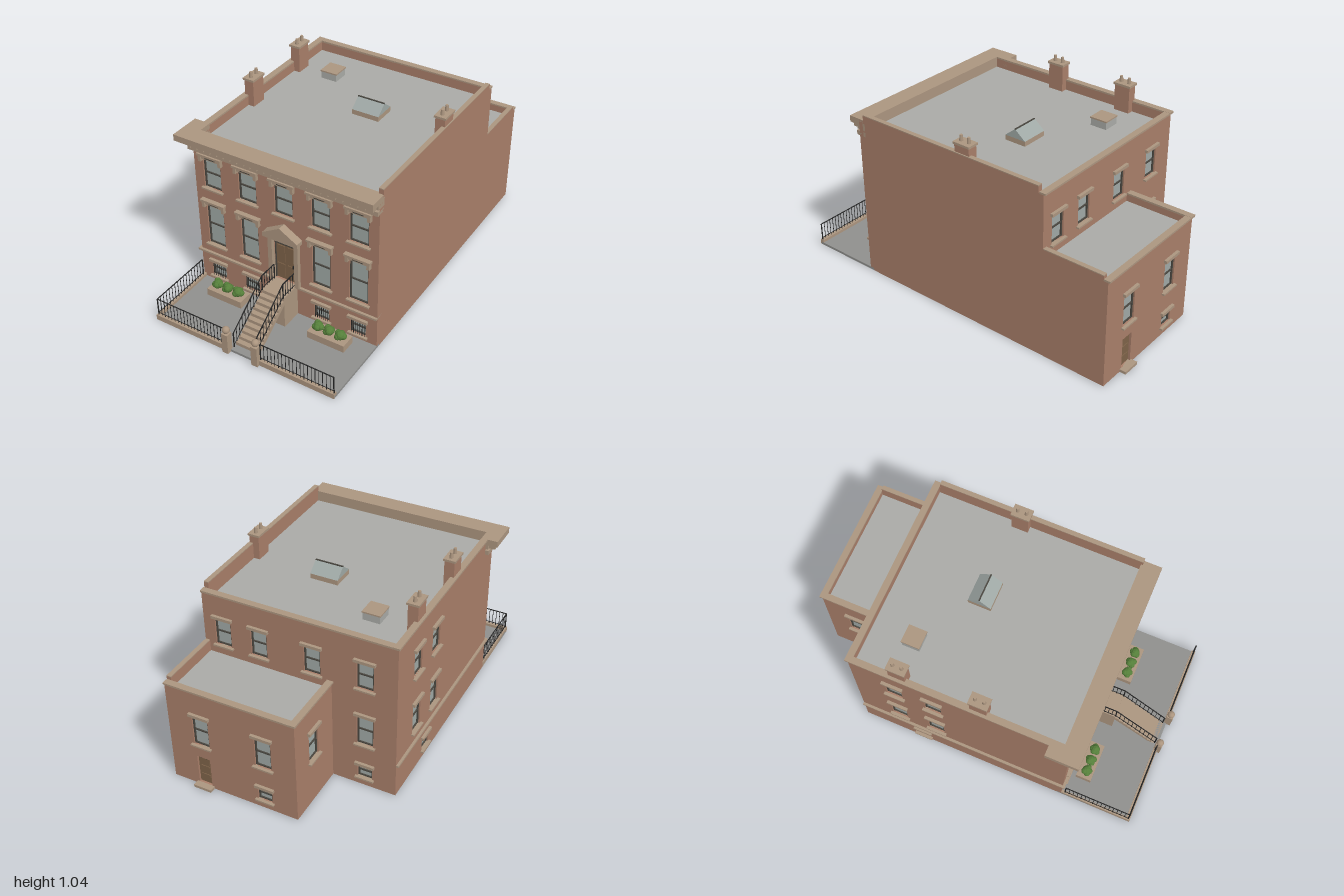
import * as THREE from 'three';

const mat = (color, extra = {}) => new THREE.MeshStandardMaterial({ color, ...extra });
const M = {
  brick: mat(0xa87e69), stone: mat(0xab957f), roof: mat(0xa9aaa6), yard: mat(0x8f8f8d), glass: mat(0x9fa8a5),
  frame: mat(0x4a4740), iron: mat(0x262626), door: mat(0x7d6248), leaf: mat(0x557f3a, { flatShading: true }),
};
const MID = 0.0325;              // axis of the front elevation
const X0 = -0.5, X1 = 0.565;     // outer faces of the side walls
const FRONT = 0.58, BACK = -0.6, WING = -0.965, WINGX = -0.15;
const T = 0.025;                 // wall thickness

function add(parent, name, geo, material) {
  const m = new THREE.Mesh(geo, material);
  m.name = name;
  parent.add(m);
  return m;
}
// box from its limits on each axis
function box(parent, name, material, x0, x1, y0, y1, z0, z1) {
  const m = add(parent, name, new THREE.BoxGeometry(x1 - x0, y1 - y0, z1 - z0), material);
  m.position.set((x0 + x1) / 2, (y0 + y1) / 2, (z0 + z1) / 2);
  return m;
}
// round iron bar between two points
function bar(parent, name, a, b, r = 0.002) {
  const p = new THREE.Vector3(...a), d = new THREE.Vector3(...b).sub(p);
  const m = add(parent, name, new THREE.CylinderGeometry(r, r, d.length(), 6), M.iron);
  m.position.copy(p).addScaledVector(d, 0.5);
  m.quaternion.setFromUnitVectors(new THREE.Vector3(0, 1, 0), d.normalize());
}
function group(parent, name) {
  const g = new THREE.Group();
  g.name = name;
  parent.add(g);
  return g;
}

// sash window in a wall opening, local +z outwards
function sashWindow(parent, o) {
  const g = group(parent, 'window'), { u, w, y0, y1, kind } = o, h = w / 2, f = 0.007;
  box(g, 'glass', M.glass, u - h, u + h, y0, y1, -T, -0.016);
  for (const s of [-1, 1]) box(g, 'frameSide', M.frame, u + s * (h - f / 2) - f / 2, u + s * (h - f / 2) + f / 2, y0, y1, -T, -0.008);
  for (const y of [y0, (y0 + y1 - f) / 2, y1 - f]) box(g, 'frameRail', M.frame, u - h, u + h, y, y + f, -T, -0.009);
  box(g, 'sill', M.stone, u - h - 0.012, u + h + 0.012, y0 - 0.009, y0, -T, 0.016);
  if (kind === 'hood') {
    box(g, 'lintel', M.stone, u - h - 0.014, u + h + 0.014, y1, y1 + 0.024, -T, 0.012);
    box(g, 'hood', M.stone, u - 0.073, u + 0.073, y1 + 0.022, y1 + 0.034, -0.01, 0.026);
    box(g, 'vent', M.frame, u - 0.029, u + 0.029, y1 + 0.006, y1 + 0.021, 0.01, 0.014);
    for (const s of [-1, 1]) box(g, 'hoodBracket', M.stone, u + s * 0.06 - 0.008, u + s * 0.06 + 0.008, y1 - 0.014, y1 + 0.022, -0.005, 0.02);
  } else box(g, 'lintel', M.stone, u - h - 0.013, u + h + 0.013, y1, y1 + 0.016, -T, 0.016);
  if (kind === 'barred')
    for (let i = -3; i <= 3; i++) bar(g, 'windowBar', [u + i * h / 3.6, y0, 0.003], [u + i * h / 3.6, y1, 0.003], 0.0015);
}
// wall panel with openings; outer face at local z = 0
function facade(parent, name, a, b, top, openings) {
  const g = group(parent, name);
  const s = new THREE.Shape([[a, 0], [b, 0], [b, top], [a, top]].map(p => new THREE.Vector2(...p)));
  for (const { u, w, y0, y1 } of openings)
    s.holes.push(new THREE.Path([[u - w / 2, y0], [u - w / 2, y1], [u + w / 2, y1], [u + w / 2, y0]].map(p => new THREE.Vector2(...p))));
  const geo = new THREE.ExtrudeGeometry(s, { depth: T, bevelEnabled: false }).translate(0, 0, -T);
  add(g, 'brickWall', geo, M.brick);
  openings.filter(o => o.kind !== 'door').forEach(o => sashWindow(g, o));
  return g;
}
const upper = u => ({ u, w: 0.09, y0: 0.612, y1: 0.768 });
const middle = u => ({ u, w: 0.09, y0: 0.265, y1: 0.443 });
const cellar = u => ({ u, w: 0.08, y0: 0.05, y1: 0.127 });

function chimney(parent, x, z, top) {
  const g = group(parent, 'chimney');
  box(g, 'stack', M.brick, x - 0.027, x + 0.027, 0.84, top - 0.01, z - 0.045, z + 0.045);
  box(g, 'cap', M.stone, x - 0.033, x + 0.033, top - 0.012, top, z - 0.051, z + 0.051);
  for (const s of [-1, 1]) add(g, 'pot', new THREE.CylinderGeometry(0.008, 0.01, 0.032, 12), M.stone).position.set(x, top + 0.015, z + s * 0.024);
}
// railing with evenly spaced pickets; h is the height above the line a-b
function railing(parent, a, b, h, n) {
  const g = group(parent, 'railing'), A = new THREE.Vector3(...a), B = new THREE.Vector3(...b);
  const up = (p, y) => [p.x, p.y + y, p.z];
  bar(g, 'topRail', up(A, h), up(B, h), 0.003);
  bar(g, 'lowRail', up(A, 0.012), up(B, 0.012));
  for (let i = 0; i <= n; i++) {
    const p = A.clone().lerp(B, i / n);
    bar(g, 'picket', up(p, 0), up(p, h), i === 0 || i === n ? 0.0035 : 0.0017);
  }
}

export function createModel() {
  const root = new THREE.Group();
  root.name = 'townhouse';

  // ground, solid cores and roofs
  box(root, 'yard', M.yard, X0, X1, 0, 0.014, FRONT - T, 0.975);
  box(root, 'mainCore', M.brick, X0 + T, X1 - T, 0, 0.84, BACK + T, FRONT - T);
  box(root, 'mainRoof', M.roof, X0 + T, X1 - T, 0.84, 0.855, BACK + T, FRONT - T);
  box(root, 'wingCore', M.brick, WINGX + T, X1 - T, 0, 0.54, WING + T, BACK);
  box(root, 'wingRoof', M.roof, WINGX + T, X1 - T, 0.54, 0.555, WING + T, BACK);

  // plain party wall on the left side, stepped down to the wing
  box(root, 'partyWall', M.brick, X1 - T, X1, 0, 0.91, BACK, FRONT);
  box(root, 'partyParapet', M.brick, X1 - T, X1, 0.9, 0.94, BACK + 0.03, FRONT - 0.03);
  box(root, 'partyCoping', M.stone, X1 - T, X1, 0.94, 0.945, BACK + 0.03, FRONT - 0.03);
  box(root, 'wingPartyWall', M.brick, X1 - T, X1, 0, 0.615, WING + T, BACK);
  box(root, 'wingPartyCoping', M.stone, X1 - T, X1, 0.615, 0.62, WING + T, BACK);

  // front elevation: five bays, door in the middle
  const cols = [-2, -1, 0, 1, 2].map(i => MID + i * 0.2125);
  const open = cols.map(u => ({ u, w: 0.105, y0: 0.612, y1: 0.785, kind: 'hood' }));
  for (const u of cols.filter((_, i) => i !== 2))
    open.push({ u, w: 0.105, y0: 0.256, y1: 0.505, kind: 'hood' }, { u, w: 0.088, y0: 0.045, y1: 0.136, kind: 'barred' });
  open.push({ u: MID, w: 0.13, y0: 0.2, y1: 0.472, kind: 'door' });
  facade(root, 'frontWall', X0, X1, 0.9, open).position.z = FRONT;

  // right side, rear and wing elevations
  const right = facade(root, 'rightWall', BACK, FRONT, 0.906, [-0.37, -0.155].flatMap(u => [upper(u), middle(u)]).concat(cellar(-0.245)));
  right.position.x = X0;
  right.rotation.y = -Math.PI / 2;
  const rear = facade(root, 'rearWall', -X1, -X0, 0.906, [...[-0.455, -0.25, 0.045, 0.33].map(upper), middle(0.33), cellar(0.33)]);
  rear.position.z = BACK;
  rear.rotation.y = Math.PI;
  const wing = facade(root, 'wingRearWall', -X1, -WINGX, 0.592,
    [middle(-0.38), middle(-0.03), cellar(-0.03), { u: -0.38, w: 0.075, y0: 0.015, y1: 0.185, kind: 'door' }]);
  wing.position.z = WING;
  wing.rotation.y = Math.PI;
  const wingSide = facade(root, 'wingRightWall', WING, BACK, 0.592, [middle(-0.79)]);
  wingSide.position.x = WINGX;
  wingSide.rotation.y = -Math.PI / 2;

  // back door
  box(wing, 'backDoor', M.door, -0.4175, -0.3425, 0.015, 0.185, -T, -0.012);
  for (const y of [0.03, 0.085, 0.135]) box(wing, 'doorPanel', M.door, -0.405, -0.355, y, y + 0.04, -0.013, -0.008);
  box(wing, 'doorLintel', M.frame, -0.4175, -0.3425, 0.178, 0.185, -T, -0.006);
  box(wing, 'backStep', M.stone, -0.43, -0.33, 0, 0.015, -T, 0.035);

  // copings
  box(root, 'rightCoping', M.stone, X0 - 0.01, X0 + T, 0.905, 0.915, BACK - 0.01, 0.48);
  box(root, 'rearCoping', M.stone, X0 - 0.01, X1, 0.904, 0.914, BACK - 0.01, BACK + T);
  box(root, 'wingRightCoping', M.stone, WINGX - 0.01, WINGX + T, 0.591, 0.601, WING - 0.01, BACK);
  box(root, 'wingRearCoping', M.stone, WINGX - 0.01, X1, 0.59, 0.6, WING - 0.01, WING + T);

  // cornice, frieze and water table, returning along the right side
  const wrap = (name, y0, y1, p, end) => {
    box(root, name, M.stone, X0 - p, X1, y0, y1, 0.54, FRONT + p);
    box(root, name + 'Return', M.stone, X0 - p, X0 + T, y0, y1, end, FRONT);
  };
  wrap('cornice', 0.88, 0.915, 0.065, 0.47);
  wrap('corniceBed', 0.856, 0.88, 0.015, 0.47);
  wrap('frieze', 0.822, 0.847, 0.02, 0.47);
  wrap('waterTable', 0.188, 0.199, 0.014, BACK);
  for (let i = 0; i < 27; i++) {
    const x = X0 + 0.015 + i * 0.0397;
    box(root, 'modillion', M.stone, x - 0.008, x + 0.008, 0.858, 0.88, FRONT, FRONT + 0.05);
  }
  for (const z of [0.49, 0.53, 0.57]) box(root, 'modillion', M.stone, X0 - 0.05, X0, 0.858, 0.88, z - 0.008, z + 0.008);

  // front door with transom, pilasters and pediment
  const entry = group(root, 'entrance');
  entry.position.set(MID, 0, FRONT);
  box(entry, 'door', M.door, -0.065, 0.065, 0.2, 0.425, -T, -0.012);
  for (const s of [-1, 1]) {
    for (const [y0, y1] of [[0.22, 0.295], [0.31, 0.41]]) box(entry, 'doorPanel', M.door, s * 0.03 - 0.022, s * 0.03 + 0.022, y0, y1, -0.013, -0.008);
    box(entry, 'doorJamb', M.frame, s * 0.0625 - 0.003, s * 0.0625 + 0.003, 0.2, 0.472, -T, -0.006);
    box(entry, 'pilaster', M.stone, s * 0.077 - 0.012, s * 0.077 + 0.012, 0.2, 0.478, -0.01, 0.022);
  }
  box(entry, 'transomBar', M.frame, -0.065, 0.065, 0.422, 0.437, -T, -0.005);
  box(entry, 'transom', M.glass, -0.065, 0.065, 0.437, 0.472, -T, -0.014);
  box(entry, 'handle', M.iron, 0.04, 0.045, 0.29, 0.308, -0.013, -0.003);
  box(entry, 'entablature', M.stone, -0.09, 0.09, 0.468, 0.48, -0.01, 0.03);
  const gable = new THREE.Shape([[-0.103, 0.477], [0.103, 0.477], [0.103, 0.5], [0, 0.56], [-0.103, 0.5]].map(p => new THREE.Vector2(...p)));
  add(entry, 'pediment', new THREE.ExtrudeGeometry(gable, { depth: 0.045, bevelEnabled: false }), M.stone);

  // stoop: landing and a flight with sloped underside
  const sx0 = MID - 0.0675, sx1 = MID + 0.0675, N = 10, run = 0.026, rise = 0.0186;
  box(root, 'landing', M.stone, sx0, sx1, 0, 0.2, FRONT, 0.7);
  const pts = [[0.7, 0.2]];
  for (let i = 1; i <= N; i++) pts.push([0.7 + (i - 1) * run, 0.2 - i * rise], [0.7 + i * run, 0.2 - i * rise]);
  pts.push([0.96, 0], [0.935, 0], [0.7, 0.155]);
  const flight = new THREE.ExtrudeGeometry(new THREE.Shape(pts.map(p => new THREE.Vector2(...p))), { depth: sx1 - sx0, bevelEnabled: false });
  const stairs = add(root, 'stairs', flight, M.stone);
  stairs.rotation.y = -Math.PI / 2;
  stairs.position.x = sx1;

  // handrails, newels, kerbs, street railings and planters, mirrored about the door
  for (const s of [-1, 1]) {
    const x = MID + s * 0.063, nx = MID + s * 0.0875, ex = s < 0 ? X0 + 0.008 : X1 - 0.006;
    railing(root, [x, 0.018, 0.955], [x, 0.2, 0.7], 0.09, 10);
    railing(root, [x, 0.2, 0.7], [x, 0.2, 0.592], 0.09, 5);
    box(root, 'newel', M.stone, nx - 0.018, nx + 0.018, 0, 0.118, 0.962, 0.998);
    add(root, 'newelBall', new THREE.SphereGeometry(0.02, 16, 12), M.stone).position.set(nx, 0.138, 0.98);
    box(root, 'kerb', M.stone, Math.min(nx, ex - 0.008), Math.max(nx, ex + 0.006), 0, 0.03, 0.96, 0.982);
    railing(root, [nx + s * 0.02, 0.03, 0.971], [ex, 0.03, 0.971], 0.1, 20);

    const px = MID + s * 0.31, planter = group(root, 'planter');
    box(planter, 'trough', M.stone, px - 0.107, px + 0.107, 0.01, 0.055, 0.62, 0.706);
    for (let i = -1; i <= 1; i++) for (let k = 0; k < 5; k++) {
      const t = k * 2.5 + i;
      const leaf = add(planter, 'shrub', new THREE.IcosahedronGeometry(k ? 0.018 : 0.026, 1), M.leaf);
      leaf.position.set(px + i * 0.064 + (k ? 0.016 * Math.cos(t) : 0), 0.078 + (k ? 0.007 * Math.sin(t * 2) : 0), 0.665 + (k ? 0.014 * Math.sin(t) : 0));
    }
  }
  box(root, 'sideKerb', M.stone, X0, X0 + 0.016, 0, 0.03, FRONT, 0.97);
  railing(root, [X0 + 0.008, 0.03, 0.971], [X0 + 0.008, 0.03, 0.6], 0.1, 16);

  // chimneys, hatch and skylight
  chimney(root, -0.467, 0.095, 1.012);
  chimney(root, -0.467, -0.335, 1.012);
  chimney(root, 0.532, -0.108, 0.998);
  box(root, 'hatch', M.roof, -0.307, -0.213, 0.85, 0.9, -0.397, -0.303);
  box(root, 'hatchLid', M.stone, -0.31, -0.21, 0.895, 0.903, -0.4, -0.3);
  box(root, 'skylightCurb', M.stone, 0.03, 0.185, 0.85, 0.882, -0.19, -0.065);
  const prism = new THREE.Shape([[-0.0625, 0], [0.0625, 0], [0, 0.05]].map(p => new THREE.Vector2(...p)));
  const sky = add(root, 'skylight', new THREE.ExtrudeGeometry(prism, { depth: 0.155, bevelEnabled: false }), M.glass);
  sky.rotation.y = Math.PI / 2;
  sky.position.set(0.03, 0.882, -0.1275);
  box(root, 'skylightRidge', M.frame, 0.03, 0.185, 0.928, 0.934, -0.131, -0.124);
  return root;
}
